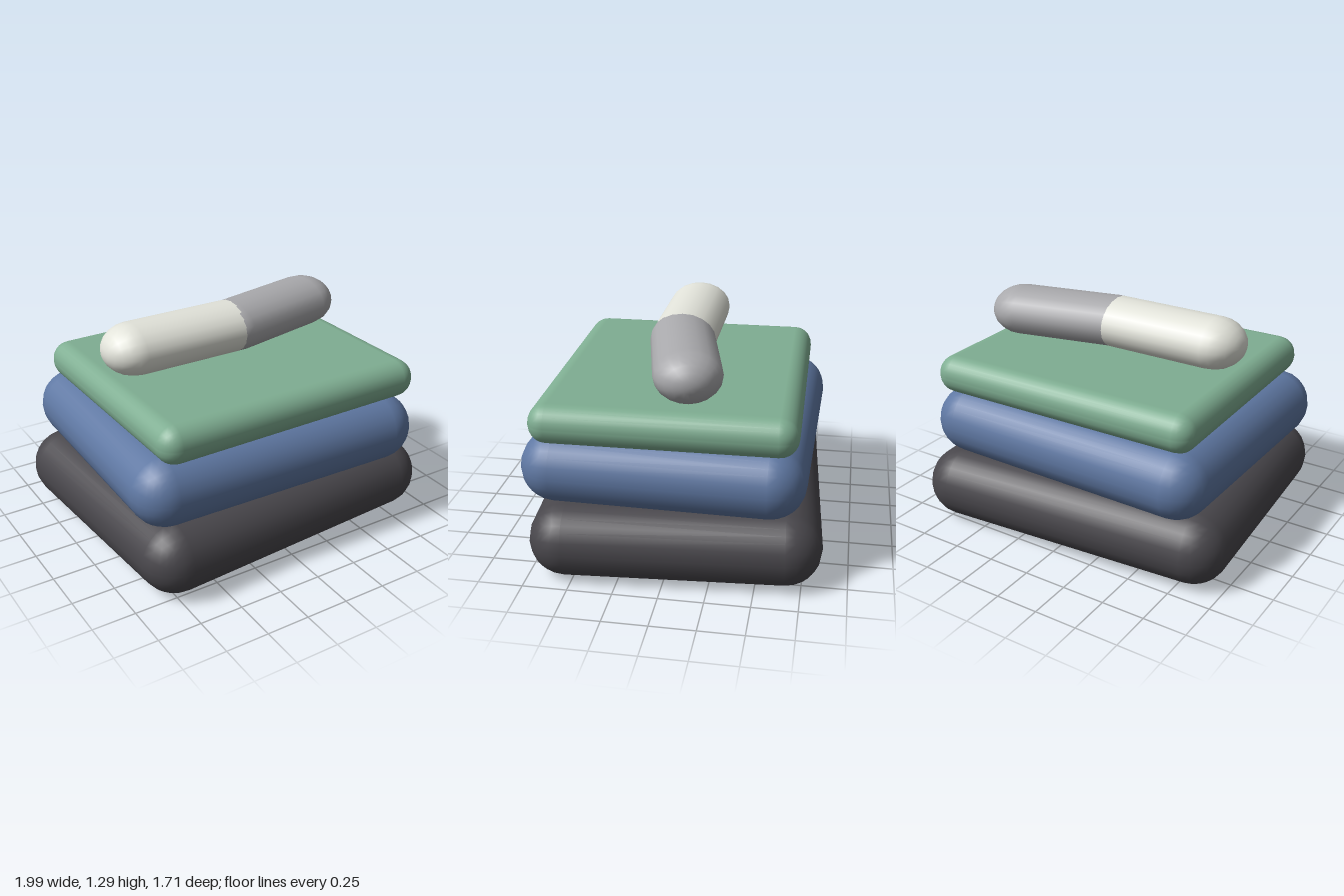
import * as THREE from 'three';
import { RoundedBoxGeometry } from 'three/addons/geometries/RoundedBoxGeometry.js';

const flat = (name, color) => {
  const m = new THREE.MeshStandardMaterial({ color });
  m.name = name;
  return m;
};

export function createModel() {
  const group = new THREE.Group();
  group.name = 'foldedClothesStack';

  const charcoal = flat('charcoal', 0x49474c);
  const blue = flat('denimBlue', 0x5f78a3);
  const green = flat('sageGreen', 0x7fae92);
  const white = flat('offWhite', 0xe2e3da);
  const grey = flat('grey', 0xa9a9ac);

  // Folded garment: a soft slab between heights y0 and y1, turned a little
  function garment(name, material, w, d, y0, y1, x, z, turn, radius) {
    const geometry = new RoundedBoxGeometry(w, y1 - y0, d, 3, radius);
    const mesh = new THREE.Mesh(geometry, material);
    mesh.name = name;
    mesh.position.set(x, (y0 + y1) / 2, z);
    mesh.rotation.y = turn;
    group.add(mesh);
  }
  garment('bottomGarment', charcoal, 1.91, 1.61, 0, 0.415, 0, 0, 0.07, 0.205);
  garment('middleGarment', blue, 1.79, 1.57, 0.39, 0.79, -0.015, 0.015, -0.02, 0.198);
  garment('topGarment', green, 1.665, 1.44, 0.77, 0.99, 0.03, 0.022, 0.013, 0.105);

  // Rolled cloth half: a capsule along x, flattened in height
  const R = 0.187, FLATTEN = 0.145 / R;
  function roll(name, material, x0, z0, x1, z1) {
    const length = Math.hypot(x1 - x0, z1 - z0);
    const geometry = new THREE.CapsuleGeometry(R, length, 6, 20);
    geometry.rotateZ(-Math.PI / 2);
    geometry.scale(1, FLATTEN, 1);
    const mesh = new THREE.Mesh(geometry, material);
    mesh.name = name;
    mesh.position.set((x0 + x1) / 2, 1.145, (z0 + z1) / 2);
    mesh.rotation.y = -Math.atan2(z1 - z0, x1 - x0);
    group.add(mesh);
  }
  // The two halves meet in a slight bend near the middle
  roll('whiteRoll', white, -0.58, 0.015, 0.04, 0.015);
  roll('greyRoll', grey, 0.06, 0.017, 0.633, -0.106);

  return group;
}
